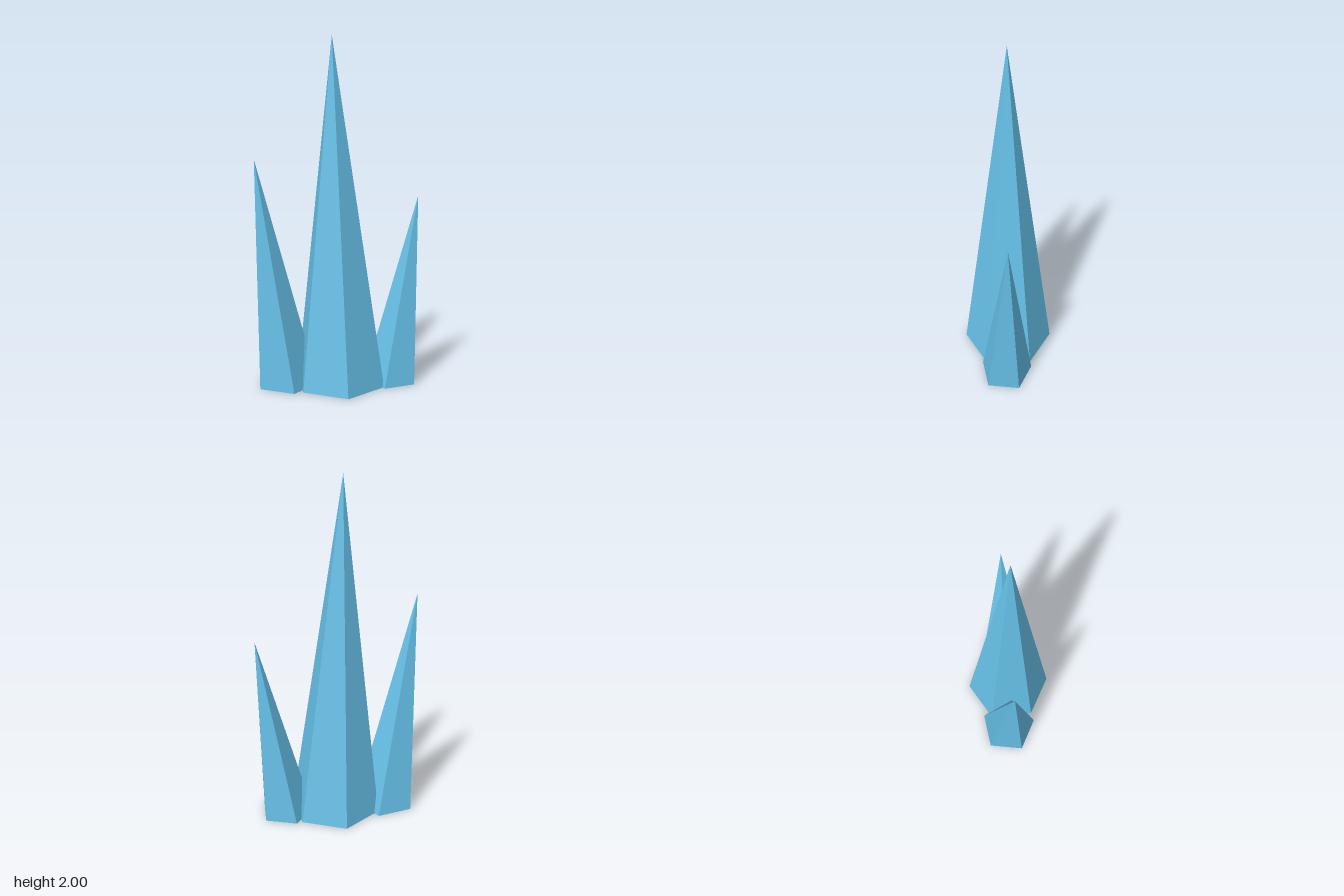
import * as THREE from 'three';

const material = new THREE.MeshStandardMaterial({
  color: 0x66c0e8,
  flatShading: true,
  side: THREE.DoubleSide,
});

// One leaning crystal: a sheared cone, and a base fan left open around its first corner
function makeCrystal({ name, sides, radius, angle, base, tip }) {
  const a = THREE.MathUtils.degToRad(angle);
  const [x, z] = base;
  const [tipX, height, tipZ] = tip;

  const spike = new THREE.ConeGeometry(radius, height, sides, 1, true, Math.PI / 2 - a);
  spike.translate(0, height / 2, 0);
  spike.applyMatrix4(new THREE.Matrix4().makeShear(0, 0, (tipX - x) / height, (tipZ - z) / height, 0, 0));

  const step = (Math.PI * 2) / sides;
  const cap = new THREE.CircleGeometry(radius, sides - 2, a + step, step * (sides - 2));
  cap.rotateX(Math.PI / 2);

  const crystal = new THREE.Group();
  crystal.name = name;
  for (const [part, geometry] of [['spike', spike], ['base', cap]]) {
    const mesh = new THREE.Mesh(geometry, material);
    mesh.name = name + (part === 'spike' ? 'Spike' : 'Base');
    crystal.add(mesh);
  }
  crystal.position.set(x, 0, z);
  return crystal;
}

export function createModel() {
  const group = new THREE.Group();
  group.name = 'crystalCluster';
  const crystals = [
    { name: 'centreCrystal', sides: 6, radius: 0.272, angle: 11, base: [0.014, 0], tip: [-0.03, 2, 0.02] },
    { name: 'leftCrystal', sides: 5, radius: 0.16, angle: 24, base: [0.304, -0.085], tip: [0.449, 1.1, -0.146] },
    { name: 'rightCrystal', sides: 5, radius: 0.181, angle: -8, base: [-0.289, 0.072], tip: [-0.45, 1.32, 0.144] },
  ];
  for (const c of crystals) group.add(makeCrystal(c));
  return group;
}
